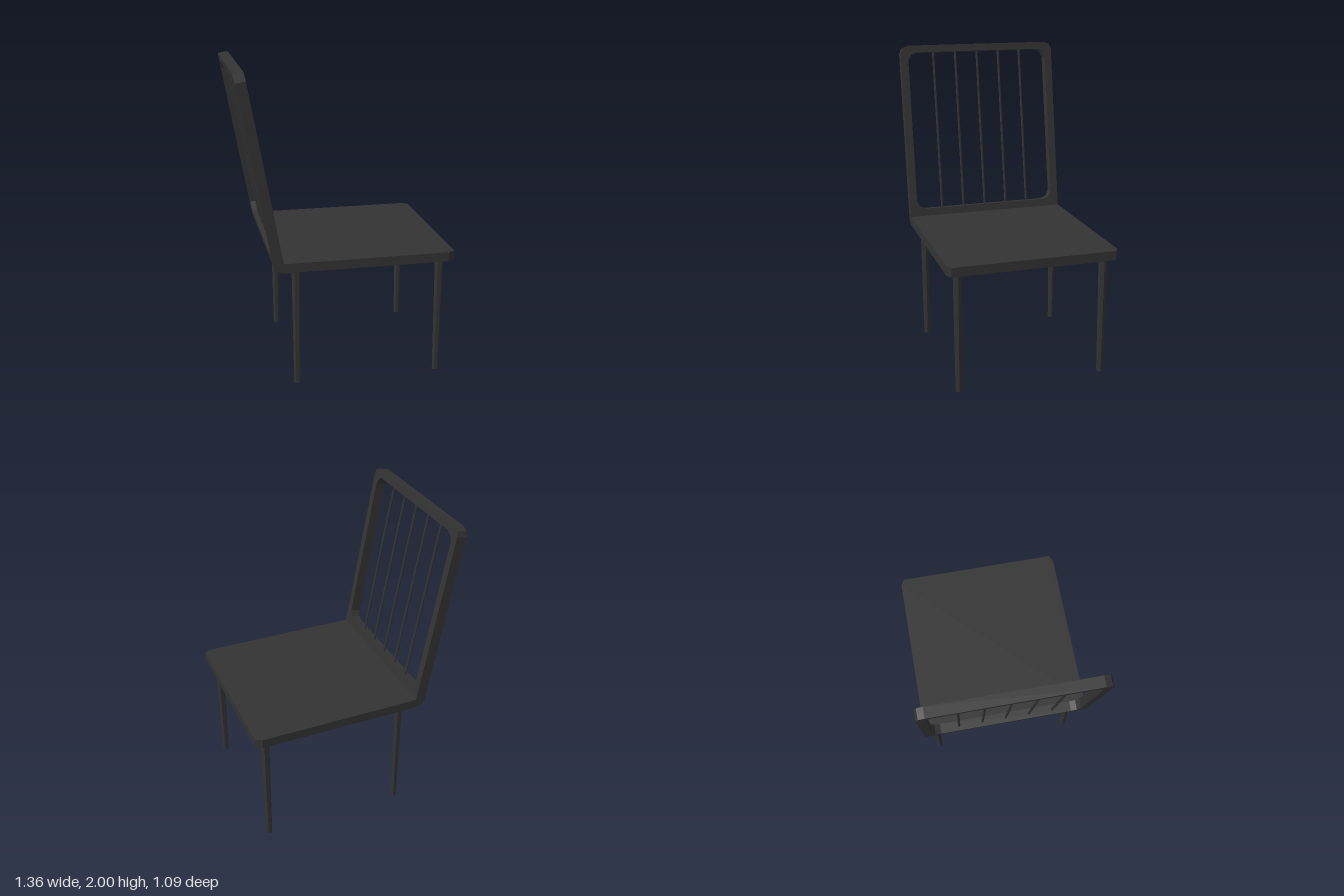
import * as THREE from 'three';

const HALF = 0.545;   // half width of seat and back
const THICK = 0.065;  // board thickness
const TILT = 0.176;   // backward lean of the backrest

const points = (list) => list.map(([x, y]) => new THREE.Vector2(x, y));
const extrude = (shape, depth) =>
  new THREE.ExtrudeGeometry(shape, { depth, bevelEnabled: false });

export function createModel() {
  const black = new THREE.MeshStandardMaterial({ color: 0x333333, flatShading: true });
  black.name = 'charcoal';
  const chair = new THREE.Group();
  chair.name = 'chair';
  const add = (parent, name, geometry) => {
    const mesh = new THREE.Mesh(geometry, black);
    mesh.name = name;
    parent.add(mesh);
    return mesh;
  };

  // Seat board with clipped front corners
  const plan = new THREE.Shape(points([
    [-0.41, -HALF], [0.635, -HALF], [0.677, -0.522],
    [0.677, 0.522], [0.635, HALF], [-0.41, HALF],
  ]));
  add(chair, 'seat', extrude(plan, 0.06).rotateX(-Math.PI / 2).translate(0, 0.78, 0));

  // Rounded bend joining seat and backrest
  const bend = new THREE.Shape(points([
    [-0.41, 0.84], [-0.474, 0.829], [-0.467, 0.808], [-0.447, 0.791], [-0.41, 0.78],
  ]));
  add(chair, 'seatBend', extrude(bend, HALF * 2).translate(0, 0, -HALF));

  // Backrest, built upright and then leaned back from the seat's rear edge
  const back = new THREE.Group();
  back.name = 'backrest';
  back.position.set(-0.41, 0.84, 0);
  back.rotation.z = TILT;
  chair.add(back);

  const frame = new THREE.Shape(points([
    [-HALF, 0], [HALF, 0], [HALF, 1.128], [0.531, 1.163], [0.493, 1.178],
    [-0.493, 1.178], [-0.531, 1.163], [-HALF, 1.128],
  ]));
  frame.holes.push(new THREE.Path(points([
    [-0.435, 0.05], [-0.473, 0.065], [-0.495, 0.105],
    [-0.495, 1.075], [-0.473, 1.115], [-0.435, 1.13],
    [0.435, 1.13], [0.473, 1.115], [0.495, 1.075],
    [0.495, 0.105], [0.473, 0.065], [0.435, 0.05],
  ])));
  add(back, 'backFrame', extrude(frame, THICK).rotateY(-Math.PI / 2));

  // Thin spindles
  const spindle = new THREE.CylinderGeometry(0.008, 0.008, 1.1, 6);
  for (let i = -2; i <= 2; i++) {
    add(back, 'spindle', spindle).position.set(-THICK / 2, 0.59, i * 0.156);
  }

  // Tapered six-sided legs
  const leg = new THREE.CylinderGeometry(0.0275, 0.0205, 0.785, 6).rotateY(Math.PI / 2);
  for (const x of [-0.325, 0.597]) {
    for (const z of [-0.47, 0.47]) {
      add(chair, x > 0 ? 'frontLeg' : 'rearLeg', leg).position.set(x, 0.3925, z);
    }
  }
  return chair;
}
